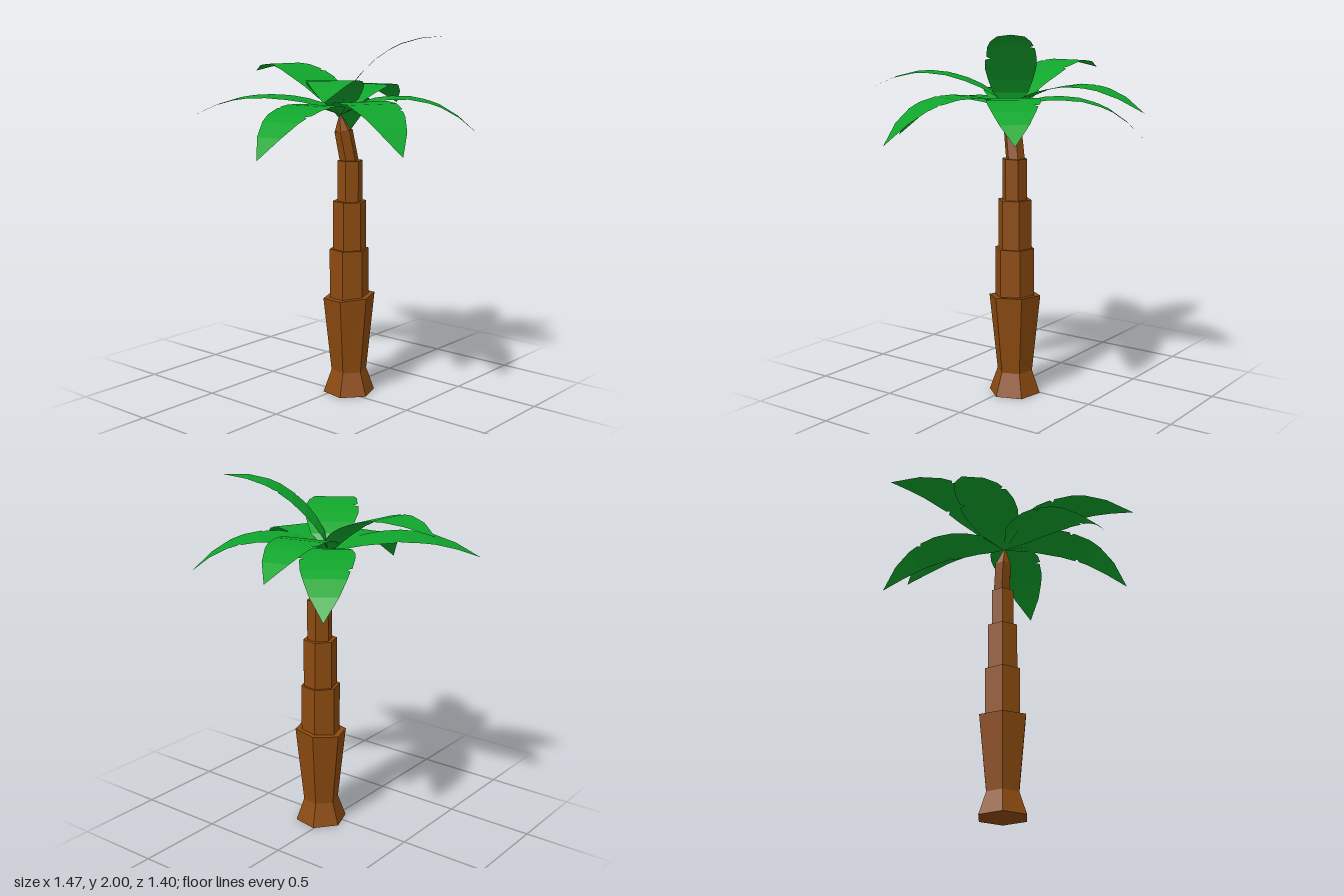
import * as THREE from 'three';

const bark = new THREE.MeshStandardMaterial({ color: 0x8b4a0f, flatShading: true });
const leaf = new THREE.MeshStandardMaterial({ color: 0x10a52c, flatShading: true, side: THREE.DoubleSide });

// Six-sided trunk piece leaning from one centre to another, with an optionally sloping top
function trunkPiece(name, [x0, y0, z0], r0, [x1, y1, z1], r1, slope = 0) {
  const geo = new THREE.CylinderGeometry(r1, r0, 1, 6, 1, false, -0.175);
  const p = geo.attributes.position;
  for (let i = 0; i < p.count; i++) {
    const t = p.getY(i) + 0.5, x = p.getX(i), z = p.getZ(i);
    p.setXYZ(i,
      x + THREE.MathUtils.lerp(x0, x1, t),
      THREE.MathUtils.lerp(y0, y1, t) + slope * t * (x + z),
      z + THREE.MathUtils.lerp(z0, z1, t));
  }
  geo.computeVertexNormals();
  const mesh = new THREE.Mesh(geo, bark);
  mesh.name = name;
  return mesh;
}

// Stations along a frond of unit chord: [distance, left half-width, right half-width]; dips are torn notches
const STATIONS = [
  [0, 0, 0], [0.12, 0.135, 0.135], [0.23, 0.17, 0.17], [0.34, 0.192, 0.192],
  [0.44, 0.195, 0.19], [0.455, 0.194, 0.15], [0.475, 0.192, 0.18],
  [0.59, 0.178, 0.172], [0.605, 0.14, 0.17], [0.625, 0.166, 0.166],
  [0.70, 0.148, 0.148], [0.84, 0.098, 0.098], [1, 0, 0],
];
// Arch height at a few distances, relative to the chord
const ARCH = [[0, 0], [0.12, 0.10], [0.23, 0.145], [0.34, 0.172], [0.48, 0.19], [0.61, 0.182], [0.70, 0.163], [0.84, 0.105], [1, 0]];
function archHeight(s) {
  const i = Math.max(1, ARCH.findIndex(([d]) => d >= s));
  const [a, ha] = ARCH[i - 1], [b, hb] = ARCH[i];
  return ha + (hb - ha) * (s - a) / (b - a);
}

const ROOT = new THREE.Vector3(0, 1.575, 0.03);

// Arched ribbon running from the crown to the given tip
function frond(tip, arch) {
  const chord = new THREE.Vector3(...tip).sub(ROOT);
  const length = chord.length();
  const side = new THREE.Vector3(chord.z, 0, -chord.x).normalize();
  const up = chord.clone().normalize().cross(side);
  const corners = STATIONS.map(([s, wl, wr]) => {
    const mid = ROOT.clone().addScaledVector(chord, s).addScaledVector(up, archHeight(s) * arch * length);
    return [mid.clone().addScaledVector(side, wl * length), mid.clone().addScaledVector(side, -wr * length)];
  });
  const points = [];
  for (let i = 0; i + 1 < corners.length; i++) {
    const [l0, r0] = corners[i], [l1, r1] = corners[i + 1];
    if (i > 0) points.push(l0, r0, l1);
    if (i === 0) points.push(l0, r1, l1);
    else if (i + 2 < corners.length) points.push(r0, r1, l1);
  }
  const geo = new THREE.BufferGeometry().setFromPoints(points);
  geo.computeVertexNormals();
  return new THREE.Mesh(geo, leaf);
}

export function createModel() {
  const model = new THREE.Group();

  // Trunk: flared foot, swollen base, stepped shafts, bent neck and point
  const trunk = new THREE.Group();
  trunk.name = 'trunk';
  trunk.add(
    trunkPiece('trunkFoot', [0.046, 0, 0.055], 0.146, [0.046, 0.13, 0.055], 0.1),
    trunkPiece('trunkBase', [0.046, 0.13, 0.055], 0.1, [0.046, 0.56, 0.055], 0.146, 0.06),
    trunkPiece('lowerShaft', [0.046, 0.5, 0.055], 0.11, [0.046, 0.83, 0.055], 0.11),
    trunkPiece('middleShaft', [0.047, 0.8, 0.056], 0.094, [0.047, 1.1, 0.056], 0.094),
    trunkPiece('upperShaft', [0.048, 1.07, 0.058], 0.07, [0.048, 1.325, 0.058], 0.07),
    trunkPiece('bentNeck', [0.052, 1.3, 0.054], 0.053, [0.018, 1.49, 0.036], 0.05, 0.1),
    trunkPiece('trunkPoint', [0.018, 1.485, 0.036], 0.048, [-0.005, 1.585, 0.03], 0.002),
  );
  model.add(trunk);

  // Crown: each frond by tip position and arch strength
  const crown = new THREE.Group();
  crown.name = 'crown';
  const fronds = [
    [[0.73, 1.59, -0.14], 1], [[0.60, 1.41, -0.40], 1], [[0.10, 1.785, -0.705], 0.95],
    [[-0.46, 1.565, -0.64], 0.68], [[-0.735, 1.405, 0.11], 1], [[-0.63, 1.70, 0.455], 1],
    [[-0.325, 1.43, 0.70], 1.1], [[0.45, 1.475, 0.625], 1], [[0.325, 2.0, 0.485], 0.95],
  ];
  fronds.forEach(([tip, arch], i) => {
    const mesh = frond(tip, arch);
    mesh.name = `frond${i + 1}`;
    crown.add(mesh);
  });
  model.add(crown);
  return model;
}
